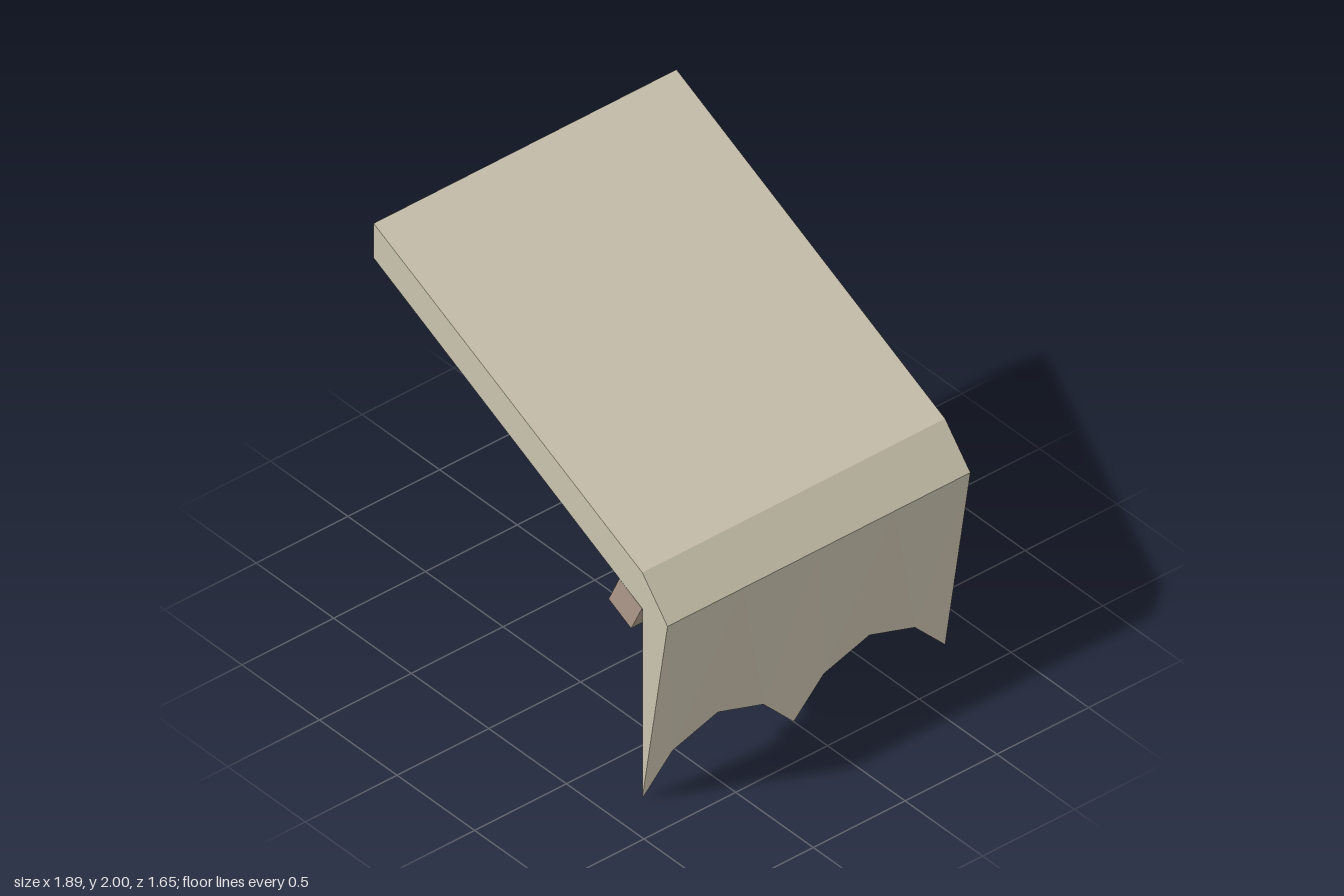
import * as THREE from 'three';

const HALF = 0.825; // half depth along z

// Extrudes an x/y outline through the full depth
function prism(name, points, material) {
  const shape = new THREE.Shape(points.map(([x, y]) => new THREE.Vector2(x, y)));
  const geometry = new THREE.ExtrudeGeometry(shape, { depth: HALF * 2, bevelEnabled: false });
  geometry.translate(0, 0, -HALF);
  const mesh = new THREE.Mesh(geometry, material);
  mesh.name = name;
  return mesh;
}

// Hanging valance: flat inside, faceted outside tapering to a scalloped edge
function valance(material) {
  const inX = 0.782, outX = 0.945, topY = 0.99;
  const scallop = [[0, 0], [0.2, 0.17], [0.5, 0.25], [0.8, 0.17], [1, 0]];
  const positions = [];
  const tri = (...corners) => corners.forEach((c) => positions.push(...c));

  for (let bay = 0; bay < 2; bay++) {
    const zAt = (t) => HALF - (bay + t) * HALF;
    const low = scallop.map(([t, y]) => [inX, y, zAt(t)]);
    const out = [0, 0.5, 1].map((t) => [outX, topY, zAt(t)]);
    const inner = [0, 0.5, 1].map((t) => [inX, topY, zAt(t)]);
    // Outer and inner skins share the same fan, with opposite winding
    for (const [top, flip] of [[out, false], [inner, true]]) {
      const face = (a, b, c) => (flip ? tri(a, c, b) : tri(a, b, c));
      face(top[0], low[0], low[1]);
      face(top[0], low[1], top[1]);
      face(top[1], low[1], low[2]);
      face(top[1], low[2], low[3]);
      face(top[1], low[3], top[2]);
      face(top[2], low[3], low[4]);
    }
  }
  // End triangles
  for (const s of [1, -1]) {
    const a = [inX, topY, s * HALF], b = [inX, 0, s * HALF], c = [outX, topY, s * HALF];
    if (s > 0) tri(a, b, c);
    else tri(a, c, b);
  }

  const geometry = new THREE.BufferGeometry();
  geometry.setAttribute('position', new THREE.Float32BufferAttribute(positions, 3));
  geometry.computeVertexNormals();
  const mesh = new THREE.Mesh(geometry, material);
  mesh.name = 'scallopedValance';
  return mesh;
}

export function createModel() {
  const canvas = new THREE.MeshStandardMaterial({ color: 0xcbc4af, flatShading: true, side: THREE.DoubleSide });
  canvas.name = 'beige canvas';
  const wood = new THREE.MeshStandardMaterial({ color: 0xac9989, flatShading: true });
  wood.name = 'brown wood';

  const group = new THREE.Group();
  group.name = 'awning';
  // Sloping canopy with a chamfered front lip
  group.add(prism('canopy', [[-0.95, 1.82], [0.782, 0.99], [0.945, 0.99], [0.782, 1.177], [-0.95, 2]], canvas));
  group.add(valance(canvas));
  // Support beam beneath the canopy
  group.add(prism('supportBeam', [[0.565, 0.915], [0.71, 0.845], [0.78, 0.988], [0.634, 1.06]], wood));
  return group;
}
